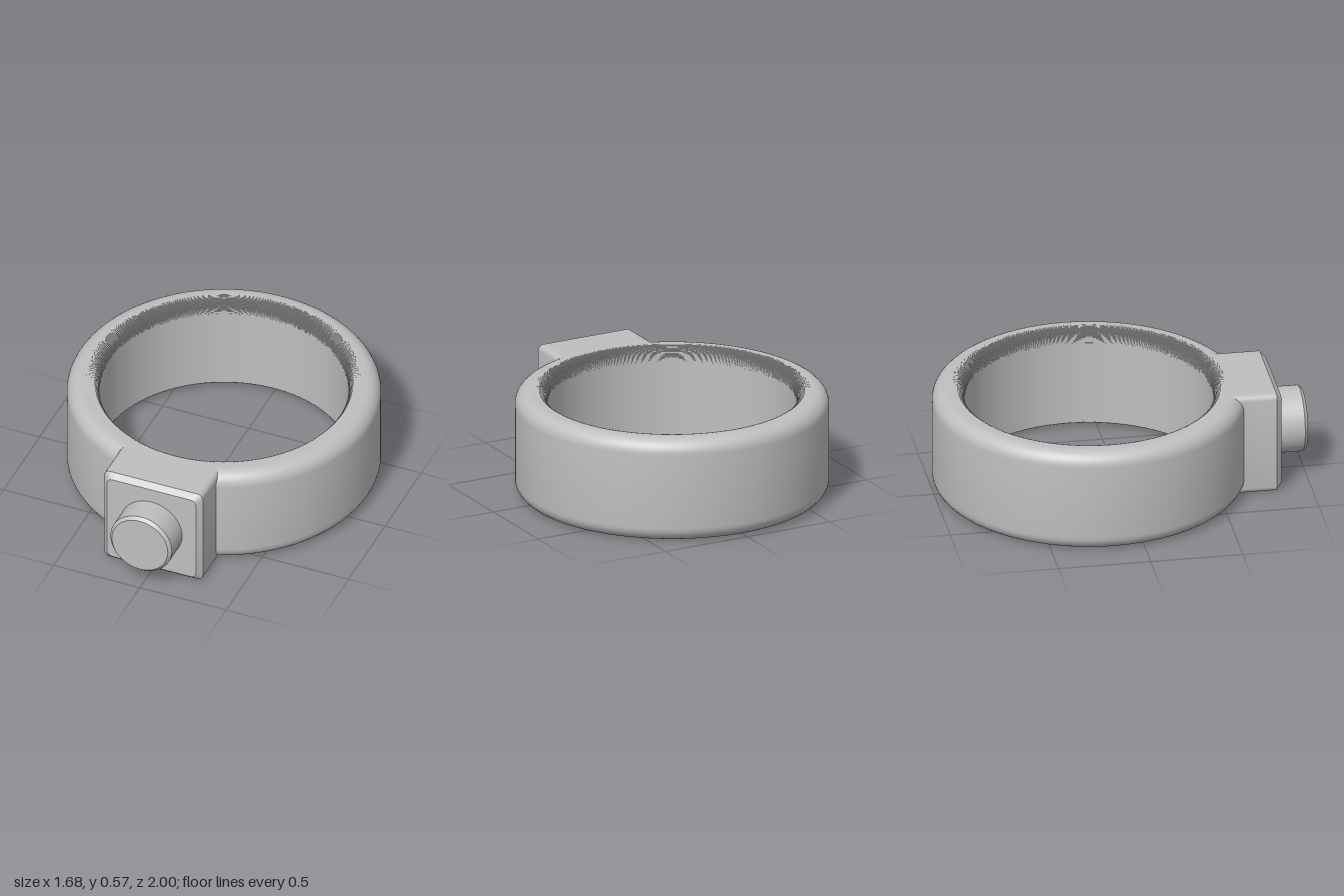
import * as THREE from 'three';
import { toCreasedNormals } from 'three/addons/utils/BufferGeometryUtils.js';

const H = 0.575, RING_Z = -0.16, OUTER = 0.84, INNER = 0.665, FILLET = 0.08;

// Closed ring profile: smooth outer roundings, finely stepped inner roundings
function ringProfile() {
  const upper = [];
  for (let i = 0; i <= 8; i++) {
    const a = (i / 8) * Math.PI / 2;
    upper.push([OUTER - FILLET + FILLET * Math.cos(a), H - FILLET + FILLET * Math.sin(a)]);
  }
  const steps = 16;
  let y = H;
  for (let i = 0; i <= steps; i++) {
    const a = (1 - i / steps) * Math.PI / 2;
    const r = INNER + FILLET - FILLET * Math.cos(a);
    upper.push([r, y]);
    y = H - FILLET + FILLET * Math.sin(a);
    if (i > 0) upper.push([r, y]);
  }
  const lower = upper.map(([r, v]) => [r, H - v]).reverse();
  const pts = [...upper, ...lower, upper[0]].map(([r, v]) => new THREE.Vector2(r, v));
  return pts.filter((p, i) => i === 0 || p.distanceTo(pts[i - 1]) > 1e-6);
}

// Rounded rectangle, counter-clockwise seen from the front
function outline(inset) {
  const w = 0.285 - inset, h = H / 2 - inset, r = 0.03, pts = [];
  const corners = [[1, 1], [-1, 1], [-1, -1], [1, -1]];
  corners.forEach(([sx, sy], c) => {
    for (let i = 0; i <= 4; i++) {
      const a = (c + i / 4) * Math.PI / 2;
      pts.push([sx * (w - r) + r * Math.cos(a), sy * (h - r) + r * Math.sin(a) + H / 2]);
    }
    // extra points along top and bottom so the back can follow the ring
    if (c % 2 === 0) {
      for (let i = 1; i < 12; i++) pts.push([sx * (w - r) * (1 - i / 6), sy * h + H / 2]);
    }
  });
  return pts;
}

// Block lofted from the curved back to a chamfered front face
function blockGeometry() {
  const loops = [
    outline(0).map(([x, y]) => [x, y, RING_Z + Math.sqrt(0.755 ** 2 - x * x)]),
    outline(0).map(([x, y]) => [x, y, 0.81]),
    outline(0.028).map(([x, y]) => [x, y, 0.84]),
  ];
  const n = loops[0].length, pos = loops.flat(2), idx = [];
  for (let k = 0; k < 2; k++) {
    for (let i = 0; i < n; i++) {
      const j = (i + 1) % n, a = k * n + i, b = k * n + j;
      idx.push(a, b, b + n, a, b + n, a + n);
    }
  }
  pos.push(0, H / 2, 0.84);
  for (let i = 0; i < n; i++) idx.push(2 * n + i, 2 * n + (i + 1) % n, 3 * n);
  const g = new THREE.BufferGeometry();
  g.setAttribute('position', new THREE.Float32BufferAttribute(pos, 3));
  g.setIndex(idx);
  return toCreasedNormals(g, 0.5);
}

export function createModel() {
  const model = new THREE.Group();
  model.name = 'ringClamp';
  const grey = new THREE.MeshStandardMaterial({ color: 0xbfbfbf });
  grey.name = 'light grey';

  const add = (name, geometry) => {
    const mesh = new THREE.Mesh(geometry, grey);
    mesh.name = name;
    model.add(mesh);
    return mesh;
  };

  // Ring band
  const ring = add('ring', toCreasedNormals(new THREE.LatheGeometry(ringProfile(), 128), 0.5));
  ring.position.z = RING_Z;

  // Mounting block on the front
  add('block', blockGeometry());

  // Round stud with a chamfered end
  const studProfile = [[0.178, 0.82], [0.178, 0.982], [0.162, 1], [0, 1]]
    .map(([r, y]) => new THREE.Vector2(r, y));
  const stud = add('stud', toCreasedNormals(new THREE.LatheGeometry(studProfile, 64), 0.5));
  stud.rotation.x = Math.PI / 2;
  stud.position.y = H / 2;

  return model;
}
